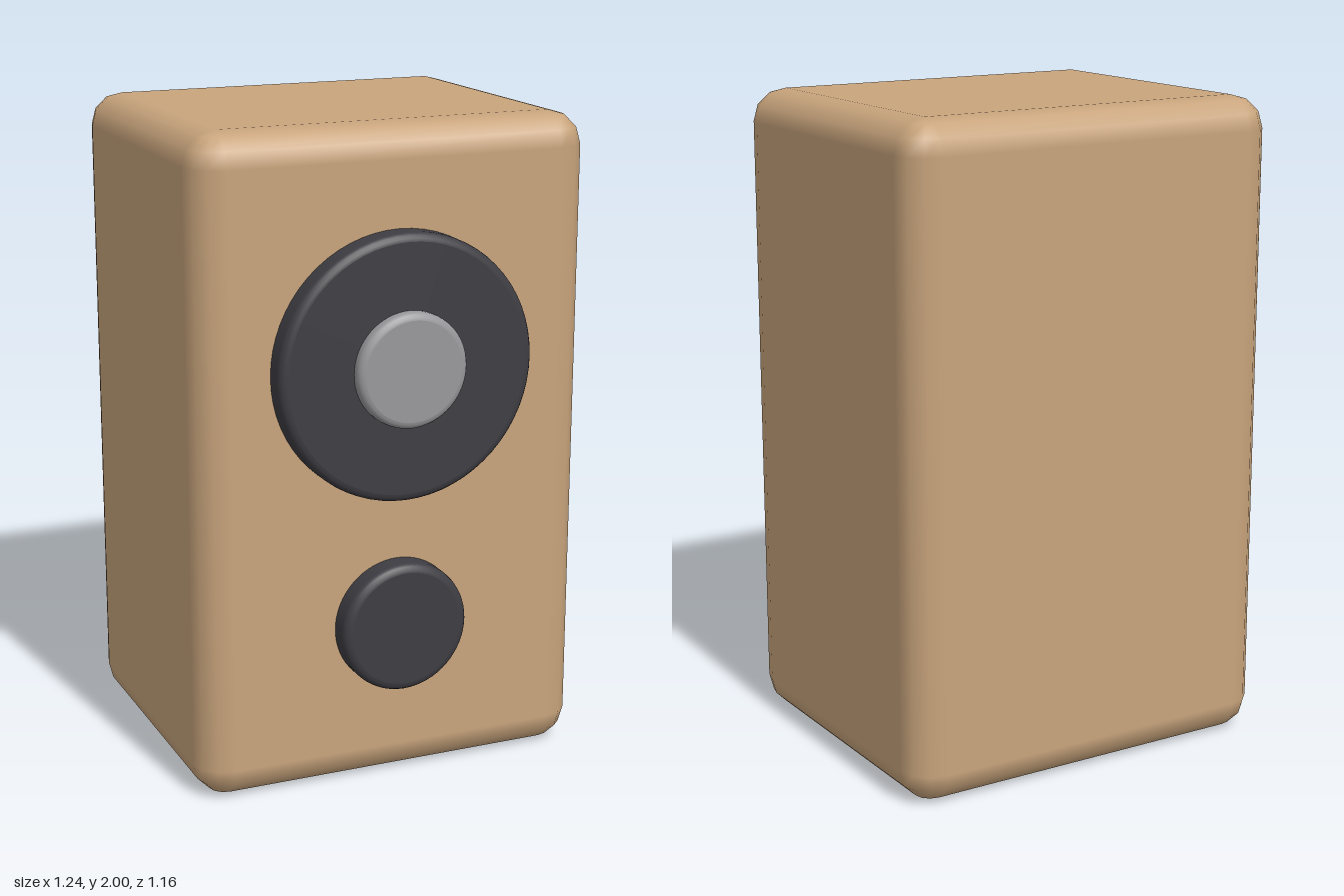
import * as THREE from 'three';

const wood = new THREE.MeshStandardMaterial({ name: 'wood', color: 0xc8a47c });
const charcoal = new THREE.MeshStandardMaterial({ name: 'charcoal', color: 0x3e3d43 });
const silver = new THREE.MeshStandardMaterial({ name: 'silver', color: 0x98989c });

// Box with three-step rounded edges: a closed grid wrapped round the box,
// four columns per corner, with the first and last rows closing top and bottom.
function bevelledBox(w, h, d, r) {
  const geo = new THREE.PlaneGeometry(1, 1, 16, 9);
  const pos = geo.attributes.position, nor = geo.attributes.normal;
  const step = Math.PI / 6;
  const n = new THREE.Vector3();
  for (let row = 0; row < 10; row++) {
    const top = row < 5 ? 1 : -1;
    const cap = row === 0 || row === 9;
    const lat = cap ? top * 3 * step : (row < 5 ? 4 - row : 5 - row) * step;
    for (let col = 0; col < 17; col++) {
      const quad = Math.floor(col / 4) % 4;
      const a = (quad * 3 + (col % 4)) * step;
      const sx = quad === 0 || quad === 3 ? 1 : -1;
      const sz = quad < 2 ? -1 : 1;
      n.set(Math.cos(a) * Math.cos(lat), Math.sin(lat), -Math.sin(a) * Math.cos(lat));
      const i = row * 17 + col;
      const k = cap ? 0 : 1;
      pos.setXYZ(i, k * (sx * (w / 2 - r) + n.x * r),
        top * (h / 2 - r) + n.y * r,
        k * (sz * (d / 2 - r) + n.z * r));
      nor.setXYZ(i, n.x, n.y, n.z);
    }
  }
  return geo;
}

// Disc facing +z with a rounded front rim
function disc(name, radius, y, back, front, bevel, material) {
  const pts = [new THREE.Vector2(radius, 0)];
  const depth = front - back;
  for (let i = 0; i <= 4; i++) {
    const a = (i / 4) * Math.PI / 2;
    pts.push(new THREE.Vector2(radius - bevel + bevel * Math.cos(a), depth - bevel + bevel * Math.sin(a)));
  }
  const rim = new THREE.Mesh(new THREE.LatheGeometry(pts, 64), material);
  rim.name = name + 'Rim';
  const face = new THREE.Mesh(new THREE.CircleGeometry(radius - bevel, 64), material);
  face.name = name + 'Face';
  face.rotation.x = -Math.PI / 2;
  face.position.y = depth;
  const group = new THREE.Group();
  group.name = name;
  group.add(rim, face);
  group.rotation.x = Math.PI / 2;
  group.position.set(0, y, back);
  return group;
}

export function createModel() {
  const model = new THREE.Group();
  model.name = 'loudspeaker';

  // Cabinet
  const cabinet = new THREE.Mesh(bevelledBox(1.242, 2, 1.046, 0.1), wood);
  cabinet.name = 'cabinet';
  cabinet.position.set(0, 1, -0.056);
  model.add(cabinet);

  // Drivers on the front
  model.add(
    disc('woofer', 0.4, 1.3, 0.44, 0.542, 0.025, charcoal),
    disc('wooferCap', 0.173, 1.303, 0.52, 0.579, 0.022, silver),
    disc('tweeter', 0.2, 0.503, 0.44, 0.542, 0.025, charcoal),
  );
  return model;
}
